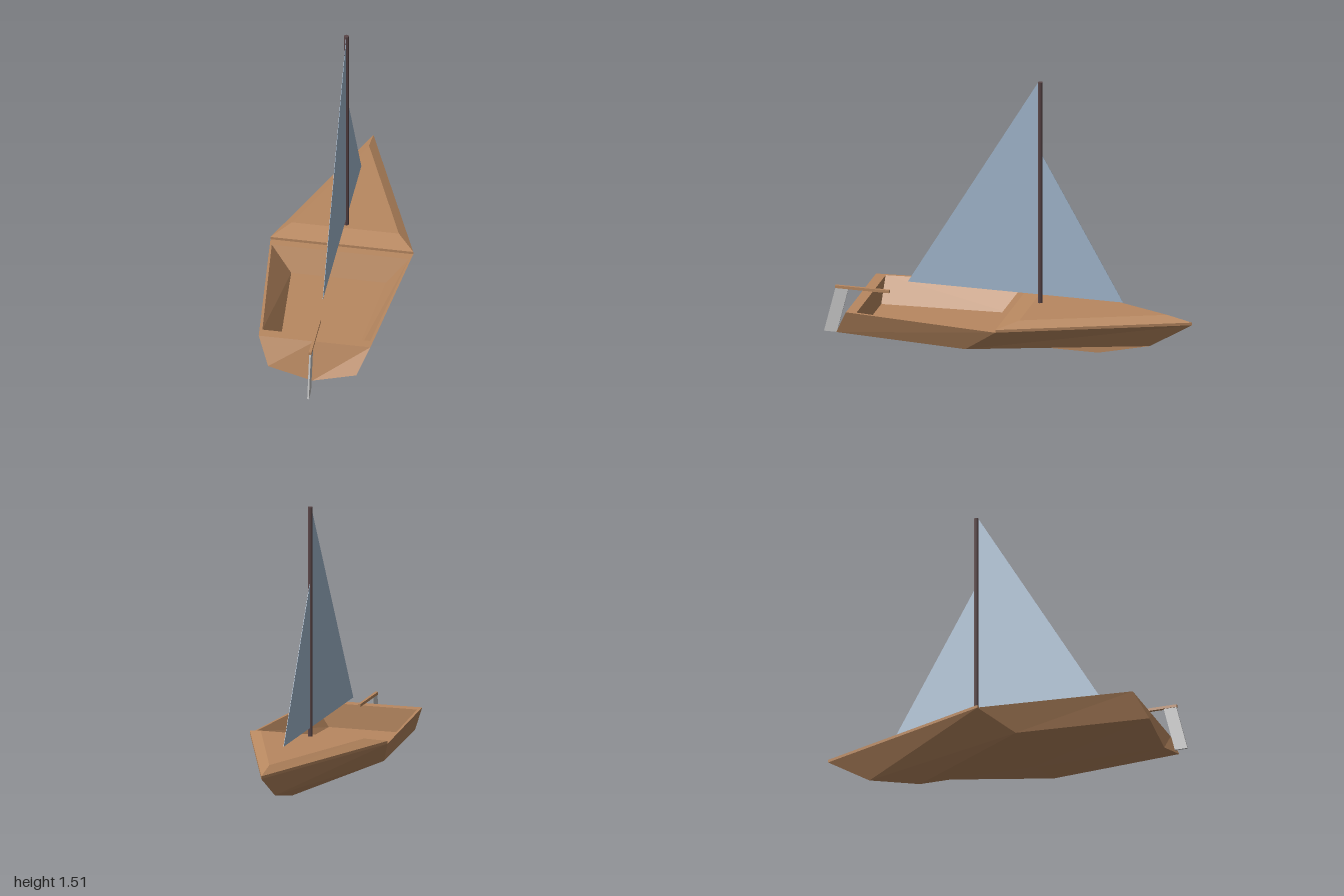
import * as THREE from 'three';

const wood = new THREE.MeshStandardMaterial({ color: 0xb88860, side: THREE.DoubleSide });
const mastWood = new THREE.MeshStandardMaterial({ color: 0x5a4648 });
const sailCloth = new THREE.MeshStandardMaterial({ color: 0xa2b8ce, side: THREE.DoubleSide });
const rudderGrey = new THREE.MeshStandardMaterial({ color: 0xc4c4c4 });
wood.name = 'wood';
mastWood.name = 'mastWood';
sailCloth.name = 'sailCloth';
rudderGrey.name = 'rudderGrey';

// Flat faces given for the left (+x) half, mirrored to the other side
function mirroredFaces(name, faces, material) {
  const pos = [];
  const fan = (f) => {
    for (let i = 1; i < f.length - 1; i++) pos.push(...f[0], ...f[i], ...f[i + 1]);
  };
  for (const f of faces) {
    fan(f);
    fan(f.map(([x, y, z]) => [-x, y, z]).reverse());
  }
  const g = new THREE.BufferGeometry();
  g.setAttribute('position', new THREE.Float32BufferAttribute(pos, 3));
  g.computeVertexNormals();
  return named(name, g, material);
}

function named(name, geometry, material) {
  const mesh = new THREE.Mesh(geometry, material);
  mesh.name = name;
  return mesh;
}

// Thin plate in the centre plane from [z, y] corners
function centrePlate(name, corners, thickness, material) {
  const shape = new THREE.Shape(corners.map(([z, y]) => new THREE.Vector2(-z, y)));
  const g = new THREE.ExtrudeGeometry(shape, { depth: thickness, bevelEnabled: false });
  g.translate(0, 0, -thickness / 2);
  g.rotateY(Math.PI / 2);
  return named(name, g, material);
}

export function createModel() {
  const boat = new THREE.Group();
  boat.name = 'sailboat';
  const mid = (p) => [0, p[1], p[2]];

  // Hull corners: stern, middle and bow
  const sternTop = [0.297, 0.23, 0.8], sternChine = [0.235, 0.09, 0.87], sternKeel = [0, 0.025, 0.87];
  const midTop = [0.38, 0.23, -0.035], midChine = [0.3, 0.09, 0.15], midKeel = [0, 0.025, 0.15];
  const bowKeel = [0, 0.025, -0.49], bowChine = [0, 0.09, -0.77], bowTop = [0, 0.23, -1];
  boat.add(mirroredFaces('hull', [
    [sternChine, midChine, midTop, sternTop],
    [midChine, bowChine, bowTop, midTop],
    [sternKeel, midKeel, midChine, sternChine],
    [midKeel, bowKeel, bowChine, midChine],
    [sternKeel, sternChine, sternTop, mid(sternTop)],
  ], wood));

  // Raised foredeck with bevelled edges
  const deckEdge = [0.38, 0.245, -0.035], deckTip = [0, 0.245, -1];
  const topCorner = [0.285, 0.275, -0.14], topTip = [0, 0.275, -0.865];
  boat.add(mirroredFaces('foredeck', [
    [midTop, bowTop, deckTip, deckEdge],
    [mid(midTop), midTop, deckEdge, mid(deckEdge)],
    [mid(deckEdge), deckEdge, topCorner, mid(topCorner)],
    [deckEdge, deckTip, topTip, topCorner],
    [mid(topCorner), topCorner, topTip],
  ], wood));

  // Cockpit rim, walls and floor
  const rimFore = [0.365, 0.23, 0.01], rimAft = [0.287, 0.23, 0.745];
  const floorFore = [0.252, 0.1, 0.065], floorAft = [0.2, 0.1, 0.745];
  boat.add(mirroredFaces('cockpitRim', [
    [rimAft, sternTop, midTop, rimFore],
    [mid(rimAft), mid(sternTop), sternTop, rimAft],
    [mid(midTop), mid(rimFore), rimFore, midTop],
  ], wood));
  boat.add(mirroredFaces('cockpit', [
    [mid(floorFore), mid(floorAft), floorAft, floorFore],
    [floorAft, rimAft, rimFore, floorFore],
    [mid(rimFore), mid(floorFore), floorFore, rimFore],
    [rimAft, floorAft, mid(floorAft), mid(rimAft)],
  ], wood));

  // Mast
  const mast = named('mast', new THREE.CylinderGeometry(0.013, 0.013, 1.245, 8).toNonIndexed(), mastWood);
  mast.geometry.computeVertexNormals();
  mast.position.set(0, 0.8875, -0.175);
  boat.add(mast);

  // Sails
  boat.add(centrePlate('mainSail', [[0.545, 0.32], [-0.165, 0.32], [-0.165, 1.51]], 0.002, sailCloth));
  boat.add(centrePlate('foreSail', [[-0.18, 0.32], [-0.625, 0.32], [-0.18, 1.11]], 0.002, sailCloth));

  // Rudder and tiller
  boat.add(centrePlate('rudder', [[1, 0], [0.93, 0], [0.868, 0.246], [0.938, 0.246]], 0.009, rudderGrey));
  const tiller = named('tiller', new THREE.BoxGeometry(0.015, 0.015, 0.295), wood);
  tiller.position.set(0, 0.2535, 0.7925);
  boat.add(tiller);

  return boat;
}
